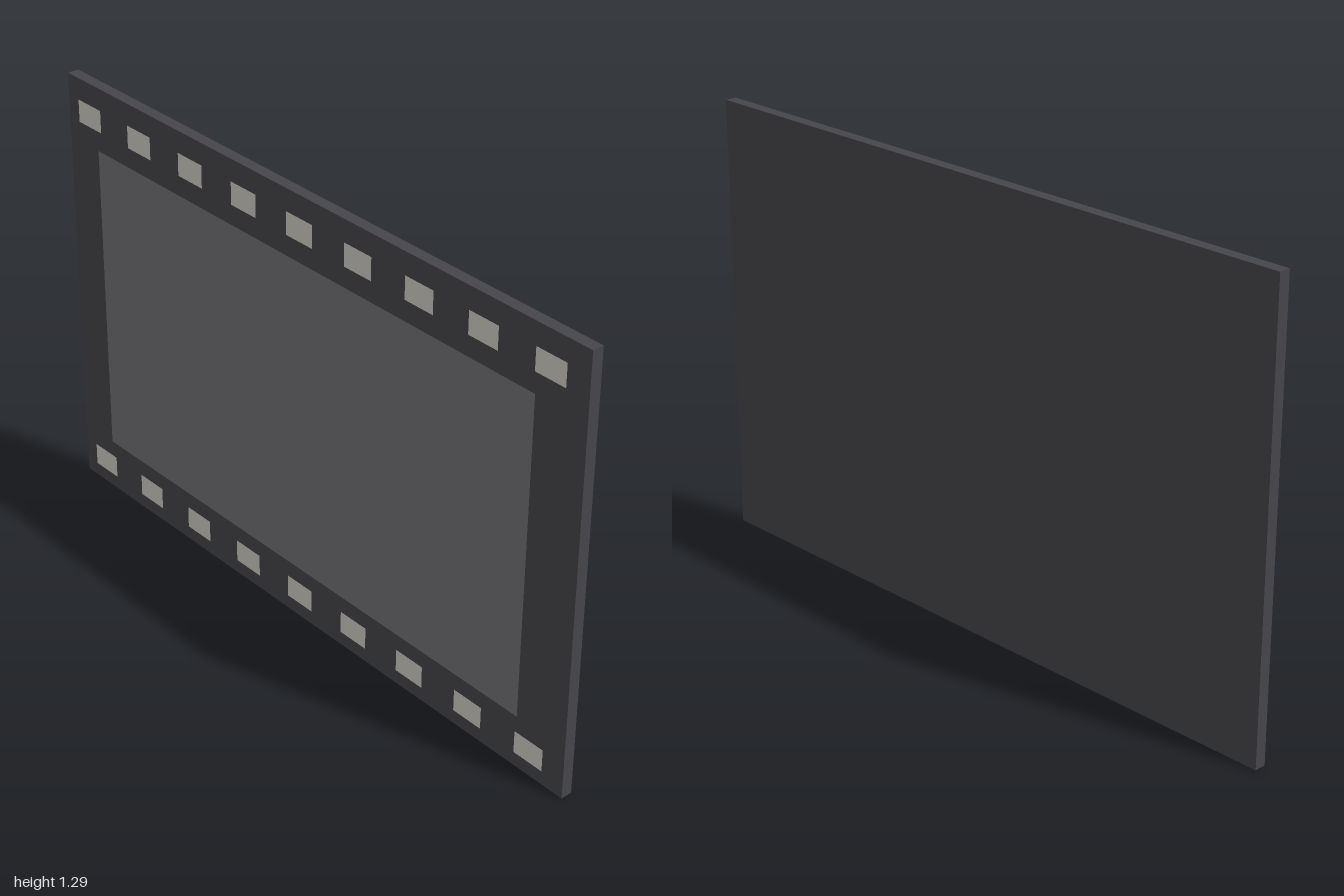
import * as THREE from 'three';

const WIDTH = 2, HEIGHT = 1.295, BACK = -0.026, FRONT = 0.008;
const MID = HEIGHT / 2;

export function createModel() {
  const model = new THREE.Group();
  model.name = 'filmFrame';

  const add = (name, geometry, material, x, y, z) => {
    const mesh = new THREE.Mesh(geometry, material);
    mesh.name = name;
    mesh.position.set(x, y, z);
    model.add(mesh);
  };

  const film = new THREE.MeshStandardMaterial({ color: 0x46454a });
  const image = new THREE.MeshStandardMaterial({ color: 0x737276 });
  const light = new THREE.MeshStandardMaterial({ color: 0xd2d1c9 });

  // Thin dark film slab
  add('filmBase', new THREE.BoxGeometry(WIDTH, HEIGHT, FRONT - BACK), film, 0, MID, (FRONT + BACK) / 2);

  // Picture area, a flat sheet just in front of the slab
  add('pictureArea', new THREE.PlaneGeometry(1.695, 0.942), image, 0, MID, 0.026);

  // Nine sprocket marks along the top and bottom edges
  const mark = new THREE.PlaneGeometry(0.1, 0.067);
  for (const side of [-1, 1]) {
    for (let i = -4; i <= 4; i++) {
      add('sprocketMark', mark, light, i * 0.222, MID + side * 0.559, 0.021);
    }
  }

  return model;
}
